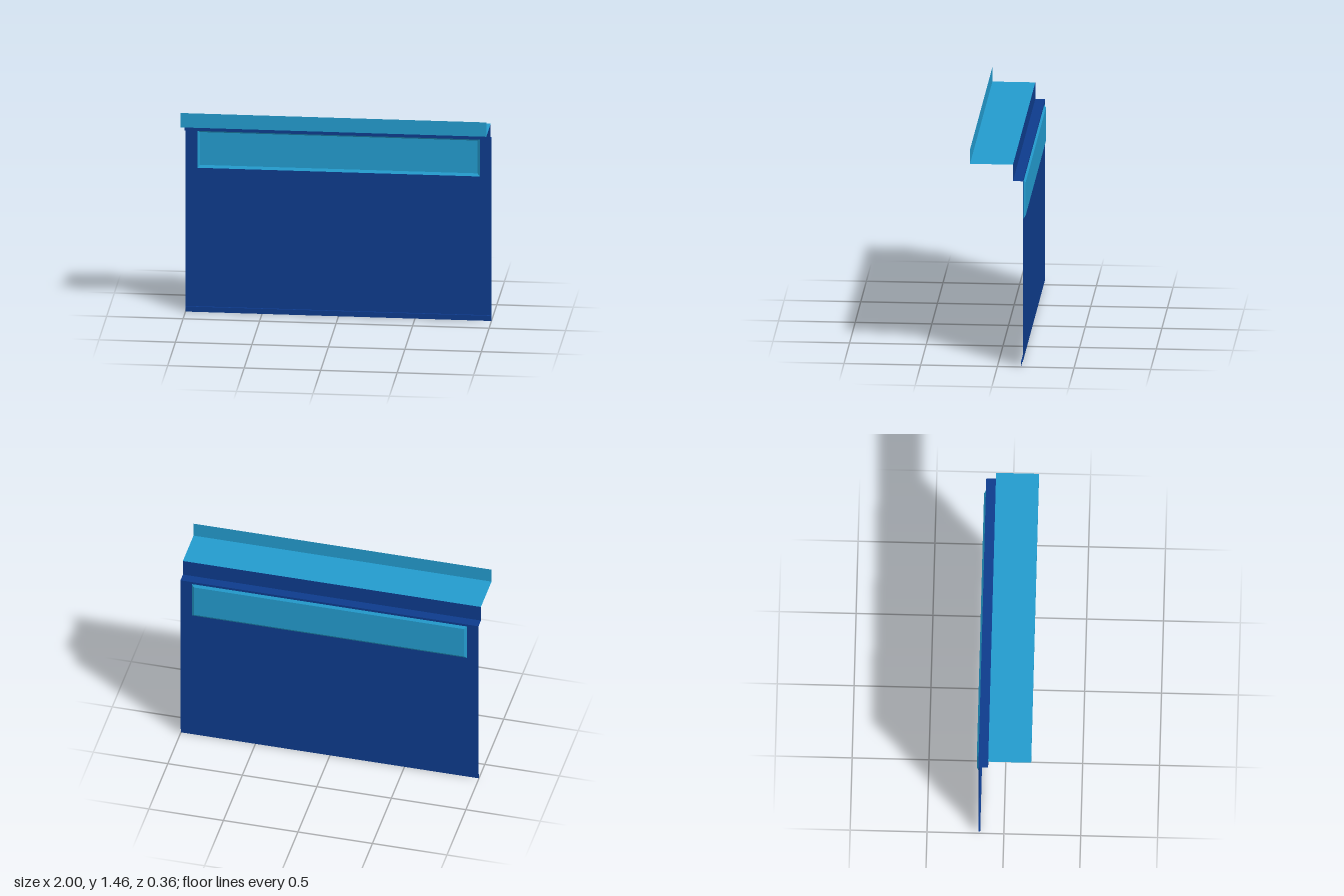
import * as THREE from 'three';

const HALF = 1;         // half the width of every folded strip
const SHEET_Z = -0.166; // plane of the main sheet

function flatGeometry(positions, indices) {
  const indexed = new THREE.BufferGeometry();
  indexed.setAttribute('position', new THREE.Float32BufferAttribute(positions, 3));
  indexed.setIndex(indices);
  const geometry = indexed.toNonIndexed();
  geometry.computeVertexNormals();
  return geometry;
}

// Sheet folded along a [z, y] profile, running the full width
function foldedStrip(profile) {
  const positions = [], indices = [];
  profile.forEach(([z, y], i) => {
    positions.push(-HALF, y, z, HALF, y, z);
    if (i > 0) {
      const a = 2 * (i - 1);
      indices.push(a, a + 1, a + 3, a, a + 3, a + 2);
    }
  });
  return flatGeometry(positions, indices);
}

function rectangle(Type, x, y0, y1) {
  const path = new Type();
  path.moveTo(-x, y0);
  path.lineTo(x, y0);
  path.lineTo(x, y1);
  path.lineTo(-x, y1);
  path.closePath();
  return path;
}

// Shallow tray: sloping rim around a flat back, pressed toward -z
function trayGeometry(outer, inner) {
  const positions = [], indices = [];
  for (const { x, y0, y1, z } of [outer, inner]) {
    positions.push(-x, y0, z, x, y0, z, x, y1, z, -x, y1, z);
  }
  for (let i = 0; i < 4; i++) {
    const j = (i + 1) % 4;
    indices.push(i, j, j + 4, i, j + 4, i + 4);
  }
  indices.push(4, 5, 6, 4, 6, 7);
  return flatGeometry(positions, indices);
}

export function createModel() {
  const group = new THREE.Group();
  group.name = 'foldedPanel';
  const darkBlue = new THREE.MeshStandardMaterial({ color: 0x0d3b8c, side: THREE.DoubleSide });
  darkBlue.name = 'darkBlue';
  const lightBlue = new THREE.MeshStandardMaterial({ color: 0x239bcd, side: THREE.DoubleSide });
  lightBlue.name = 'lightBlue';

  const add = (name, geometry, material) => {
    const mesh = new THREE.Mesh(geometry, material);
    mesh.name = name;
    group.add(mesh);
    return mesh;
  };

  // Main sheet with an opening for the recessed panel
  const outer = { x: 0.923, y0: 0.981, y1: 1.238, z: SHEET_Z };
  const inner = { x: 0.907, y0: 0.998, y1: 1.222, z: -0.178 };
  const sheet = rectangle(THREE.Shape, HALF, 0.035, 1.254);
  sheet.holes.push(rectangle(THREE.Path, outer.x, outer.y0, outer.y1));
  add('mainSheet', new THREE.ShapeGeometry(sheet), darkBlue).position.z = SHEET_Z;

  // Recessed panel, bevelled toward the back
  add('recessedPanel', trayGeometry(outer, inner), lightBlue);

  // Bottom hem, stepped slightly forward
  add('bottomHem', foldedStrip([[-0.154, 0], [-0.154, 0.035], [SHEET_Z, 0.035]]), darkBlue);

  // Upper step: ledge and riser
  add('upperStep', foldedStrip([[SHEET_Z, 1.254], [-0.102, 1.254], [-0.102, 1.365]]), darkBlue);

  // Shelf with an upright front lip
  add('shelf', foldedStrip([[-0.102, 1.365], [0.178, 1.365], [0.178, 1.463]]), lightBlue);

  return group;
}
